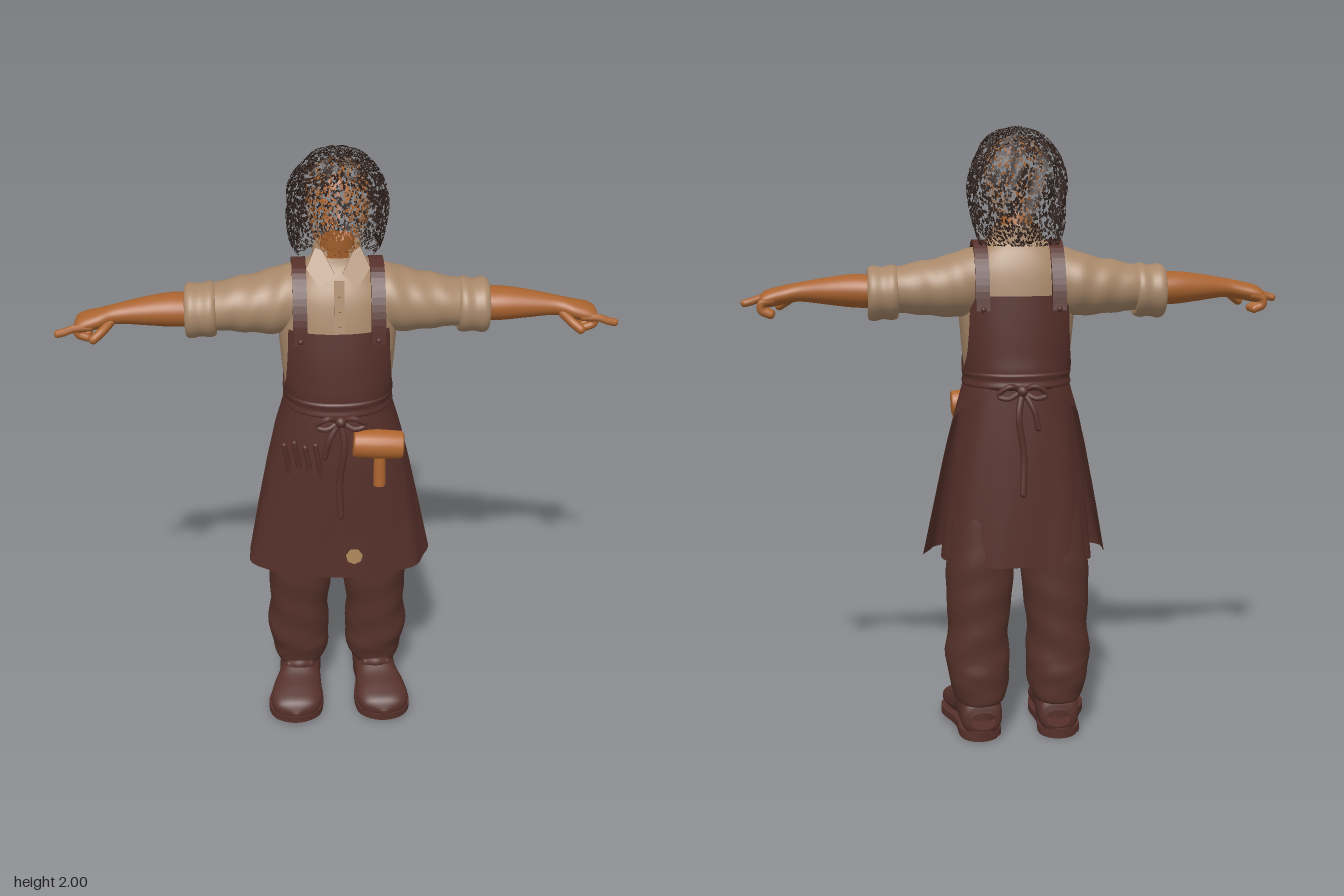
import * as THREE from 'three';
import { mergeVertices, mergeGeometries } from 'three/addons/utils/BufferGeometryUtils.js';

const paint = (name, color) => Object.assign(new THREE.MeshStandardMaterial({ color, side: THREE.DoubleSide }), { name });
const PI = Math.PI;

// Surface through oval sections: [t, centreA, centreB, radiusA, radiusB, startAngle, endAngle].
// Along y the centres are x, z; along x they are y, z; along z they are y, x.
function surface(rows, axis = 'y', p = 2, wobble = () => 1) {
  const n = rows.length - 1;
  const col = (i, k) => rows[Math.min(n, Math.max(0, i))][k] ?? (k === 6 ? 2 * PI : 0);
  const at = (v, k) => {
    const f = Math.min(v * n, n - 1e-6), i = Math.floor(f), s = f - i;
    const [a, b, c, d] = [col(i - 1, k), col(i, k), col(i + 1, k), col(i + 2, k)];
    return b + 0.5 * s * (c - a + s * (2 * a - 5 * b + 4 * c - d + s * (3 * (b - c) + d - a)));
  };
  const pw = (x) => Math.sign(x) * Math.abs(x) ** (2 / p);
  return (u, v) => {
    const t = at(v, 0), th = at(v, 5) + u * (at(v, 6) - at(v, 5)), w = wobble(th, t);
    const ra = Math.max(at(v, 3), 0.001) * w, rb = Math.max(at(v, 4), 0.001) * w;
    const c = pw(Math.cos(th)), s = pw(Math.sin(th)), a = at(v, 1), b = at(v, 2);
    if (axis === 'x') return [t, a + ra * s, b + rb * c];
    if (axis === 'z') return [b + rb * s, a + ra * c, t];
    return [a + ra * c, t, b + rb * s];
  };
}

function geometry(pos, idx) {
  const g = new THREE.BufferGeometry();
  g.setAttribute('position', new THREE.Float32BufferAttribute(pos, 3));
  g.setIndex(idx);
  return g;
}

function loft(rows, axis, p, wobble, nu = 40, per = 6) {
  const f = surface(rows, axis, p, wobble), nv = (rows.length - 1) * per, pos = [], idx = [];
  for (let j = 0; j <= nv; j++) for (let i = 0; i <= nu; i++) pos.push(...f(i / nu, j / nv));
  for (let j = 0; j < nv; j++) for (let i = 0; i < nu; i++) {
    const a = j * (nu + 1) + i, b = a + nu + 1;
    idx.push(a, b, a + 1, b, b + 1, a + 1);
  }
  const g = mergeVertices(geometry(pos, idx), 1e-5);
  g.computeVertexNormals();
  return g;
}

// Loose small flakes lying on a surface
function flakes(f, count, du, dv, seed) {
  const rnd = () => (seed = (seed * 16807) % 2147483647) / 2147483647;
  const pos = [], idx = [];
  for (let k = 0; k < count; k++) {
    const u = rnd(), v = rnd(), turn = rnd() * 2 * PI;
    for (let c = 0; c < 3; c++) {
      const a = turn - c * 2 * PI / 3;
      pos.push(...f(u + du * Math.cos(a), Math.min(1, Math.max(0, v + dv * Math.sin(a)))));
      idx.push(k * 3 + c);
    }
  }
  const g = geometry(pos, idx);
  g.computeVertexNormals();
  return g;
}

// Round cord or finger with rounded ends
function cord(points, r) {
  const pts = points.map((q) => new THREE.Vector3(...q));
  const ends = [pts[0], pts[pts.length - 1]].map((e) => new THREE.SphereGeometry(r, 10, 8).translate(e.x, e.y, e.z));
  return mergeGeometries([new THREE.TubeGeometry(new THREE.CatmullRomCurve3(pts), 16, r, 10), ...ends]);
}

function mirrored(geo) {
  const g = geo.clone().scale(-1, 1, 1);
  const ix = g.index ? Array.from(g.index.array) : Array.from({ length: g.attributes.position.count }, (_, i) => i);
  for (let i = 0; i < ix.length; i += 3) [ix[i], ix[i + 1]] = [ix[i + 1], ix[i]];
  g.setIndex(ix);
  return g;
}

export function createModel() {
  const model = new THREE.Group();
  const apron = paint('apron brown', 0x56302a), trouser = paint('trouser brown', 0x56322a);
  const boot = paint('boot brown', 0x55302a), shirt = paint('shirt tan', 0xa78769);
  const skin = paint('skin', 0xa9632f), wood = paint('mallet wood', 0xb0662f);
  const cloth = paint('patch cloth', 0xae8a5c), hair = paint('hair', 0x32241f);
  const add = (name, geo, mat) => {
    const m = new THREE.Mesh(geo, mat);
    m.name = name;
    model.add(m);
    return m;
  };
  const pair = (name, geo, mat) => { add(name + 'Left', geo, mat); add(name + 'Right', mirrored(geo), mat); };

  // Shirt body, sleeves and rolled cuffs
  add('shirtBody', loft([[1.18, 0, 0, .16, .15], [1.25, 0, 0, .172, .152], [1.35, 0, -.005, .182, .147], [1.45, 0, -.01, .188, .137],
    [1.54, 0, -.015, .18, .12], [1.6, 0, -.02, .145, .095], [1.64, 0, -.02, .095, .07], [1.665, 0, -.015, .06, .055]], 'y', 2.3), shirt);
  const crease = (th, t) => 1 + .02 * Math.sin(t * 75 + 2 * th);
  pair('sleeve', loft([[.06, 1.53, -.02, .09, .09], [.16, 1.51, -.028, .108, .112], [.24, 1.497, -.03, .095, .108],
    [.32, 1.493, -.028, .084, .095], [.42, 1.485, -.025, .068, .08]], 'x', 2, crease), shirt);
  pair('cuff', loft([[.385, 1.48, -.025, .06, .07], [.382, 1.48, -.025, .08, .087], [.4, 1.48, -.025, .088, .095], [.43, 1.478, -.025, .083, .09],
    [.46, 1.477, -.025, .088, .093], [.478, 1.477, -.025, .078, .083], [.474, 1.48, -.022, .05, .06]], 'x'), shirt);
  add('placket', new THREE.BoxGeometry(.032, .17, .008).rotateX(-.25).translate(0, 1.53, .116), shirt);
  for (let i = 0; i < 3; i++) add('button', new THREE.SphereGeometry(.005, 8, 6).translate(0, 1.48 + i * .045, .134 - i * .011), cloth);

  // Collar with two pointed leaves
  add('collarBand', loft([[1.625, 0, -.02, .085, .078], [1.665, 0, -.025, .078, .07], [1.695, 0, -.03, .07, .062], [1.68, 0, -.03, .06, .052]]
    .map((r) => [...r, PI / 2 + .45, PI * 2.5 - .45]), 'y'), shirt);
  const leaf = new THREE.Shape([[.012, 1.625], [.06, 1.59], [.098, 1.635], [.07, 1.69], [.05, 1.685]].map((q) => new THREE.Vector2(...q)));
  const leafGeo = new THREE.ExtrudeGeometry(leaf, { depth: .009, bevelEnabled: false });
  const lp = leafGeo.attributes.position;
  for (let i = 0; i < lp.count; i++) lp.setZ(i, lp.getZ(i) + .085 - (lp.getY(i) - 1.6) * .75 - lp.getX(i) * .2);
  leafGeo.computeVertexNormals();
  pair('collarLeaf', leafGeo, shirt);

  // Neck, forearms and hands
  add('neck', loft([[1.6, 0, -.015, .06, .055], [1.66, 0, -.015, .055, .052], [1.72, 0, -.005, .052, .05]]), skin);
  pair('forearm', loft([[.45, 1.483, -.02, .052, .064], [.52, 1.485, -.015, .053, .062], [.6, 1.485, -.008, .044, .052],
    [.69, 1.482, .003, .031, .038], [.74, 1.473, .012, .03, .046], [.79, 1.462, .012, .029, .052], [.815, 1.456, .012, .02, .045],
    [.82, 1.455, .012, .003, .01]], 'x'), skin);
  pair('indexFinger', cord([[.77, 1.458, .05], [.82, 1.457, .057], [.85, 1.447, .06], [.87, 1.442, .06]], .0125), skin);
  pair('thumb', cord([[.71, 1.465, .035], [.735, 1.447, .066], [.76, 1.43, .083]], .0145), skin);
  for (let i = 0; i < 3; i++)
    pair('curledFinger', cord([[.78, 1.458, .026 - i * .026], [.812, 1.448, .026 - i * .027], [.812, 1.426, .026 - i * .027], [.785, 1.413, .026 - i * .027]], .0135), skin);

  // Head and hair as loose flakes
  const face = surface([[1.68, 0, .04, .02, .03], [1.71, 0, .05, .06, .065], [1.76, 0, .035, .083, .092], [1.82, 0, .03, .095, .104],
    [1.88, 0, .02, .098, .105], [1.94, 0, .01, .075, .085], [1.97, 0, 0, .02, .03]], 'y', 2,
    (th, t) => 1 + .22 * Math.exp(-(((th - PI / 2) / .14) ** 2) - ((t - 1.815) / .025) ** 2));
  add('headFlakes', flakes(face, 1100, .009, .018, 11), skin);
  const hairSurface = surface([[1.63, 0, -.085, .12, .08, PI - .1, 2 * PI + .1], [1.68, 0, -.07, .14, .11, PI - .5, 2 * PI + .5],
    [1.75, 0, -.055, .15, .13, PI - .7, 2 * PI + .7], [1.82, 0, -.05, .155, .135, PI - .8, 2 * PI + .8],
    [1.89, 0, -.035, .14, .135, PI - 1, 2 * PI + 1], [1.95, 0, -.01, .108, .105, PI - 1.5, 2 * PI + 1.5],
    [1.985, 0, -.01, .065, .065, PI - 1.57, 2 * PI + 1.57], [2, 0, -.01, .005, .005, PI - 1.57, 2 * PI + 1.57]], 'y', 2,
    (th, t) => 1 + .05 * Math.sin(th * 9 + t * 25));
  add('hairFlakes', flakes(hairSurface, 3600, .009, .017, 77), hair);

  // Apron bib front and back, with open sides
  const F = PI / 2;
  const bib = (mid, top) => [[1.19, 0, 0, .172, .166, 1.6], [1.235, 0, 0, .178, .168, 1.35], [1.28, 0, 0, .185, .165, 1.1],
    [1.36, 0, -.003, .193, .16, .95], [top, 0, -.008, .197, .151, .88]].map((r) => [...r.slice(0, 5), mid - r[5], mid + r[5]]);
  add('bibFront', loft(bib(F, 1.456), 'y', 2.3), apron);
  add('bibBack', loft(bib(3 * F, 1.475), 'y', 2.3), apron);

  // Shoulder straps
  const over = [[.142, 1.42], [.132, 1.5], [.098, 1.58], [.04, 1.635], [-.05, 1.64], [-.115, 1.59], [-.152, 1.51], [-.165, 1.43]];
  const outer = new THREE.CatmullRomCurve3(over.map(([z, y]) => new THREE.Vector3(z, y, 0))).getPoints(28);
  const inner = outer.map((q) => new THREE.Vector3(-.01 + (q.x + .01) * .88, 1.42 + (q.y - 1.42) * .93, 0)).reverse();
  const strap = new THREE.Shape([...outer, ...inner].map((q) => new THREE.Vector2(q.x, q.y)));
  pair('strap', new THREE.ExtrudeGeometry(strap, { depth: .044, bevelEnabled: false }).rotateY(-PI / 2).translate(.143, 0, 0), apron);
  for (const z of [.146, -.168]) pair('strapButton', new THREE.SphereGeometry(.009, 10, 8).translate(.12, 1.435, z), apron);

  // Apron skirt: front panel wrapping over a back panel
  const fold = (th, t) => 1 + (1.2 - t) * .035 * Math.sin(th * 9 + t * 3);
  add('skirtFront', loft([[1.21, 0, 0, .166, .165, -1.25], [1.15, 0, 0, .182, .174, -.8], [1.07, 0, 0, .205, .18, -.12], [.95, 0, 0, .235, .186, 0],
    [.78, 0, 0, .27, .19, 0], [.6, 0, 0, .305, .195, 0]].map((r) => [...r, PI - r[5]]).reverse(), 'y', 2.4, fold, 64), apron);
  add('skirtBack', loft([[.6, 0, 0, .245, .178], [.8, 0, 0, .225, .174], [1, 0, 0, .2, .168], [1.21, 0, 0, .165, .158]]
    .map((r) => [...r, PI - .25, 2 * PI + .25]), 'y', 2.7, fold, 56), apron);

  // Waistband, bows and hanging ties
  add('waistband', loft([[1.175, 0, 0, .165, .16], [1.185, 0, 0, .177, .174], [1.205, 0, 0, .174, .171], [1.225, 0, 0, .177, .174], [1.235, 0, 0, .165, .16]], 'y', 2.3), apron);
  for (const [side, z] of [['front', .184], ['back', -.176]]) {
    const s = Math.sign(z);
    pair(side + 'BowLoop', cord([[.005, 1.18, z], [.04, 1.195, z + s * .016], [.078, 1.165, z + s * .006], [.045, 1.155, z + s * .012], [.005, 1.175, z]], .009), apron);
    add(side + 'BowKnot', new THREE.SphereGeometry(.019, 12, 10).translate(0, 1.178, z + s * .005), apron);
    add(side + 'LongTie', cord([[0, 1.175, z], [.012, 1.1, z + s * .018], [-.003, .97, z + s * .018], [0, .85, z + s * .03]], .011), apron);
    add(side + 'ShortTie', cord([[-.005, 1.175, z], [-.035, 1.12, z + s * .016], [-.05, 1.06, z + s * .016]], .01), apron);
  }

  // Two patch pockets
  const pocket = (a, b, c, d, top) => loft([[.74, 0, 0, .285, .199, a, b], [.87, 0, 0, .259, .198, (a + c) / 2, (b + d) / 2], [top, 0, 0, .234, .195, c, d]], 'y', 2.4);
  add('pocketLeft', pocket(.88, 1.55, .58, 1.55, .995), apron);
  add('pocketRight', pocket(1.59, PI - .88, 1.59, PI - .58, 1.01), apron);

  // Small tools on one side, mallet on the other
  for (let i = 0; i < 4; i++) {
    const x = -.17 + i * .033;
    add('toolHandle', cord([[x + .012, .97, .15 + i * .011], [x, 1.04, .156 + i * .011], [x - .008, 1.085 + (i % 2) * .012, .16 + i * .01]], .009), boot);
  }
  add('malletHead', new THREE.LatheGeometry([[0, -.08], [.038, -.08], [.044, -.074], [.047, 0], [.044, .074], [.038, .08], [0, .08]]
    .map((q) => new THREE.Vector2(...q)), 24).rotateZ(PI / 2 - .06).translate(.12, 1.088, .172), wood);
  add('malletHandle', new THREE.CylinderGeometry(.018, .02, .13, 14).translate(.125, 1.01, .18), wood);

  // Sewn patch near the hem
  add('patch', new THREE.CylinderGeometry(.028, .028, .006, 7).rotateX(PI / 2).translate(.045, .685, .2), cloth);

  // Trousers
  const baggy = (th, t) => 1 + .028 * Math.sin(t * 48 + 2 * th) * Math.max(0, 1 - t) + .012 * Math.sin(t * 95 - 3 * th) * Math.max(0, 1 - t * 2);
  pair('trouserLeg', loft([[.12, .13, -.06, .06, .08], [.13, .13, -.06, .08, .1], [.2, .13, -.055, .1, .11], [.27, .136, -.05, .106, .113],
    [.38, .132, -.045, .1, .117], [.5, .127, -.04, .11, .125], [.62, .122, -.035, .11, .13], [.85, .105, -.02, .105, .13], [1.18, .08, 0, .08, .13]], 'y', 2.3, baggy), trouser);

  // Boots with soles and heels
  pair('bootUpper', loft([[-.15, .07, .125, .03, .04], [-.135, .08, .128, .06, .065], [-.07, .085, .13, .07, .072], [.02, .083, .135, .068, .072], [.08, .07, .145, .053, .084],
    [.14, .06, .15, .042, .09], [.185, .05, .152, .031, .068], [.205, .042, .153, .005, .01]], 'z', 2.4), boot);
  pair('bootShaft', loft([[.07, .13, -.06, .07, .085], [.12, .13, -.06, .07, .085], [.16, .13, -.06, .066, .08]]), boot);
  pair('bootTongue', cord([[.1, .135, .035], [.135, .142, .045], [.17, .135, .035]], .016), boot);
  const outline = [[.12, -.155], [.065, -.12], [.068, -.02], [.055, .09], [.075, .175], [.15, .21], [.225, .18], [.246, .1], [.207, -.02], [.198, -.12], [.15, -.155]];
  const sole = new THREE.Shape(new THREE.SplineCurve([...outline, outline[0]].map((q) => new THREE.Vector2(...q))).getPoints(50));
  pair('sole', new THREE.ExtrudeGeometry(sole, { depth: .024, bevelEnabled: false }).rotateX(PI / 2).translate(0, .035, 0), boot);
  pair('heel', new THREE.CylinderGeometry(.066, .066, .03, 20).scale(1, 1, 1.1).translate(.132, .015, -.08), boot);
  pair('toeTread', new THREE.CylinderGeometry(.085, .08, .014, 20).translate(.15, .007, .1), boot);
  return model;
}
